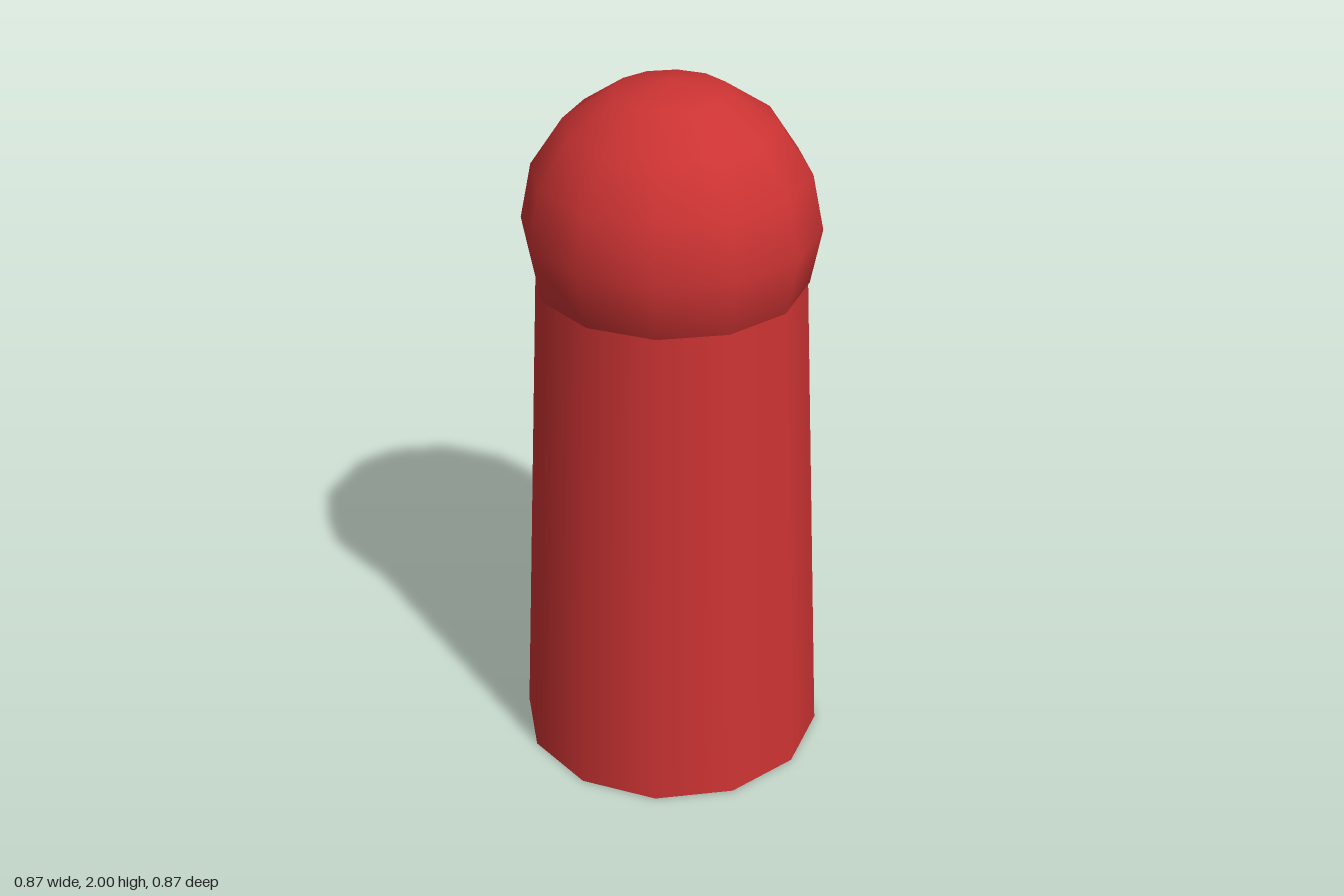
import * as THREE from 'three';

export function createModel() {
  const group = new THREE.Group();
  const material = new THREE.MeshStandardMaterial({ color: 0xcc3333 });
  const sides = 12, headRadius = 0.405, headY = 2 - headRadius;

  // Tapered post, closed at the base and ending inside the head
  const post = new THREE.Mesh(
    new THREE.CylinderGeometry(0.363, 0.433, headY, sides), material);
  post.name = 'post';
  post.position.y = headY / 2;

  // Rounded head
  const head = new THREE.Mesh(
    new THREE.SphereGeometry(headRadius, sides, 8), material);
  head.name = 'head';
  head.position.y = headY;

  group.add(post, head);
  return group;
}
